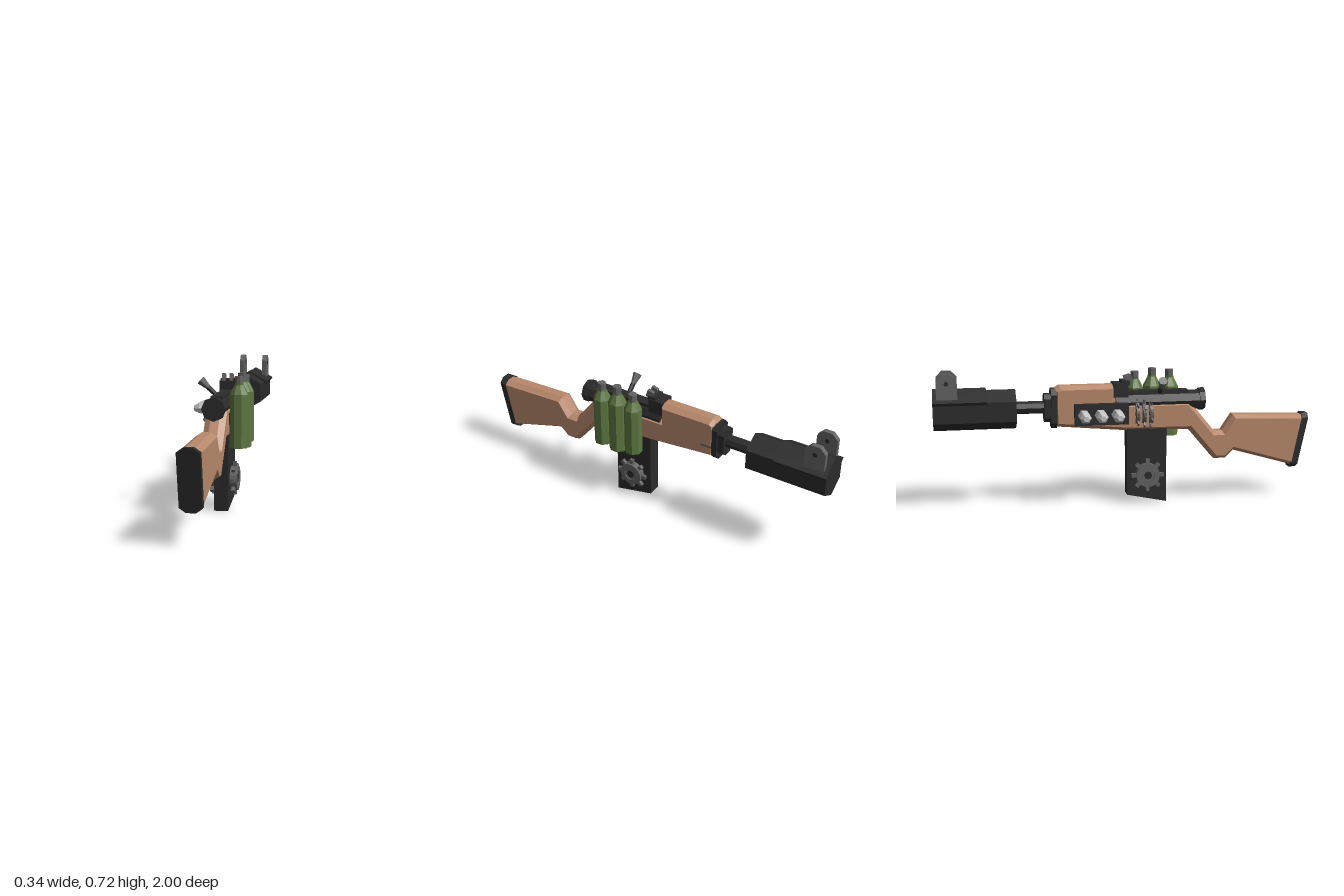
import * as THREE from 'three';

const mat = (name, color) => {
  const m = new THREE.MeshStandardMaterial({ color, flatShading: true });
  m.name = name;
  return m;
};

export function createModel() {
  const wood = mat('wood', 0xb8896b);
  const black = mat('black metal', 0x2b2b2b);
  const grey = mat('grey metal', 0x626262);
  const silver = mat('silver', 0xc8c8c8);
  const green = mat('green glass', 0x5c7540);
  const root = new THREE.Group();
  const CX = 0.022; // centre line

  const add = (name, geo, material, parent = root) => {
    const m = new THREE.Mesh(geo, material);
    m.name = name;
    parent.add(m);
    return m;
  };
  const shapeOf = pts => new THREE.Shape(pts.map(p => new THREE.Vector2(p[0], p[1])));
  const box = (name, material, x0, x1, y0, y1, z0, z1, parent) => add(name,
    new THREE.BoxGeometry(x1 - x0, y1 - y0, z1 - z0)
      .translate((x0 + x1) / 2, (y0 + y1) / 2, (z0 + z1) / 2), material, parent);
  // side outline given as (z, y), extruded across x
  const sideExtrude = (pts, width, x, bevel = 0, bevelDepth = 0) =>
    new THREE.ExtrudeGeometry(shapeOf(pts), {
      depth: width - 2 * bevelDepth, bevelEnabled: bevel > 0, bevelSegments: 1,
      bevelSize: bevel, bevelThickness: bevelDepth, bevelOffset: -bevel,
    }).translate(0, 0, bevelDepth - width / 2).rotateY(-Math.PI / 2).translate(x, 0, 0);
  // section given as (x, y), extruded from z0 to z1
  const zExtrude = (pts, z0, z1) =>
    new THREE.ExtrudeGeometry(shapeOf(pts), { depth: z1 - z0, bevelEnabled: false }).translate(0, 0, z0);
  const chamfered = (hw, y0, y1, cx, cy) => [
    [CX - hw + cx, y0], [CX + hw - cx, y0], [CX + hw, y0 + cy], [CX + hw, y1 - cy],
    [CX + hw - cx, y1], [CX - hw + cx, y1], [CX - hw, y1 - cy], [CX - hw, y0 + cy],
  ];
  const zCylinder = (r, sides, y, z0, z1) =>
    new THREE.CylinderGeometry(r, r, z1 - z0, sides).rotateX(Math.PI / 2).translate(CX, y, (z0 + z1) / 2);

  // wooden stock with chamfered edges
  add('stock', sideExtrude([
    [-0.385, 0.435], [0, 0.4], [0.335, 0.395], [0.476, 0.228], [0.54, 0.228], [0.585, 0.27],
    [0.925, 0.172], [0.98, 0.452], [0.578, 0.467], [0.52, 0.38], [0.476, 0.38],
    [0.335, 0.55], [-0.06, 0.55], [-0.06, 0.647], [-0.355, 0.647], [-0.385, 0.63],
  ], 0.104, CX, 0.02, 0.03), wood);

  // slanted butt plate
  const plate = zExtrude(chamfered(0.053, 0.162, 0.46, 0.03, 0.022), -0.035, 0);
  const pos = plate.attributes.position;
  for (let i = 0; i < pos.count; i++) pos.setZ(i, pos.getZ(i) + 1 - 0.205 * (0.46 - pos.getY(i)));
  plate.computeVertexNormals();
  add('buttPlate', plate, black);

  // receiver tube with end cap
  add('receiverTube', zCylinder(0.052, 8, 0.552, -0.06, 0.4), black);
  add('receiverCap', zCylinder(0.06, 8, 0.554, 0.39, 0.42), black);
  box('receiverBlock', black, CX - 0.045, CX + 0.045, 0.58, 0.654, -0.075, 0.005);
  box('receiverRail', black, CX - 0.03, CX + 0.03, 0.57, 0.608, 0, 0.33);

  // rear sight
  box('rearSightBase', black, CX - 0.038, CX + 0.038, 0.64, 0.667, -0.03, 0.015);
  for (const s of [-1, 1]) {
    const prong = box('rearSightProng', grey, -0.009, 0.009, -0.02, 0.02, -0.018, 0.018);
    prong.position.set(CX + s * 0.02, 0.672, 0.01);
    prong.rotation.x = -0.3;
  }

  // flared bolt handle
  const bolt = new THREE.Group();
  bolt.name = 'boltHandle';
  bolt.position.set(-0.015, 0.605, 0.175);
  bolt.rotation.z = 0.83;
  add('boltStem', new THREE.CylinderGeometry(0.014, 0.012, 0.05, 8).translate(0, 0.02, 0), black, bolt);
  add('boltKnob', new THREE.CylinderGeometry(0.024, 0.012, 0.06, 8).translate(0, 0.07, 0), grey, bolt);
  root.add(bolt);

  // collars and barrel
  add('collar', zExtrude(chamfered(0.055, 0.428, 0.632, 0.028, 0.028), -0.4, -0.37), black);
  add('frontCollar', zExtrude(chamfered(0.046, 0.46, 0.605, 0.022, 0.022), -0.435, -0.4), black);
  add('barrel', zCylinder(0.033, 8, 0.535, -0.6, -0.43), black);

  // hexagonal muzzle, pointed at the top, under a roof plate
  const hex = [];
  for (let i = 0; i < 6; i++) {
    const a = Math.PI / 6 + i * Math.PI / 3;
    hex.push([CX + 0.103 * Math.cos(a), 0.531 + 0.103 * Math.sin(a)]);
  }
  add('muzzle', zExtrude(hex, -1, -0.58), black);
  add('muzzleRoof', zExtrude([
    [CX - 0.104, 0.587], [CX - 0.096, 0.572], [CX, 0.628],
    [CX + 0.096, 0.572], [CX + 0.104, 0.587], [CX, 0.646],
  ], -1, -0.73), black);

  // front sight ears
  for (const s of [-1, 1]) {
    const x = CX + s * 0.068;
    add('frontSightEar', sideExtrude([
      [-0.98, 0.585], [-0.875, 0.585], [-0.875, 0.697], [-0.905, 0.728], [-0.95, 0.728], [-0.98, 0.697],
    ], 0.026, x), grey);
    add('frontSightHole', new THREE.CylinderGeometry(0.012, 0.012, 0.03, 8)
      .rotateZ(Math.PI / 2).translate(x, 0.682, -0.928), black);
  }

  // magazine with slanted foot
  add('magazine', sideExtrude([[0, 0.05], [0.212, 0.005], [0.212, 0.42], [0, 0.42]], 0.073, CX), black);

  // toothed wheel, axis along z
  const makeGear = (name, r, toothR, depth) => {
    const g = new THREE.Group();
    g.name = name;
    const ring = new THREE.Shape().absarc(0, 0, r, 0, Math.PI * 2);
    ring.holes.push(new THREE.Path().absarc(0, 0, r * 0.58, 0, Math.PI * 2, true));
    add('gearRing', new THREE.ExtrudeGeometry(ring, { depth, bevelEnabled: false, curveSegments: 16 })
      .translate(0, 0, -depth / 2), grey, g);
    add('gearWeb', new THREE.CylinderGeometry(r * 0.6, r * 0.6, depth * 0.7, 16).rotateX(Math.PI / 2), grey, g);
    add('gearHub', new THREE.CylinderGeometry(r * 0.34, r * 0.34, depth * 0.9, 8).rotateX(Math.PI / 2), black, g);
    for (let i = 0; i < 8; i++) {
      const len = toothR - r * 0.8;
      add('gearTooth', new THREE.BoxGeometry(len, r * 0.32, depth * 0.5)
        .translate(toothR - len / 2, 0, 0).rotateZ(i * Math.PI / 4), grey, g);
    }
    root.add(g);
    return g;
  };
  for (const s of [-1, 1]) {
    const g = makeGear('magazineGear', 0.063, 0.087, 0.037);
    g.rotation.y = s * Math.PI / 2;
    g.position.set(CX + s * 0.055, 0.16, 0.107);
  }
  // half-sunk gears on the receiver side
  for (let i = 0; i < 3; i++) {
    const g = makeGear('receiverGear', 0.056, 0.076, 0.018);
    g.position.set(-0.018, 0.495, 0.05 + i * 0.036);
    g.rotation.z = i * 0.25;
  }

  // shell holder with three shells
  box('shellHolder', black, -0.068, -0.025, 0.445, 0.555, -0.282, 0);
  for (let i = 0; i < 3; i++) {
    const profile = [[0, 0], [0.031, 0], [0.031, 0.08], [0.015, 0.11], [0, 0.11]];
    add('shell', new THREE.LatheGeometry(profile.map(p => new THREE.Vector2(...p)), 6)
      .rotateZ(Math.PI / 2).translate(-0.064, 0.5, -0.063 - i * 0.087), silver);
  }
  // small pin on the other side
  box('sidePin', grey, 0.07, 0.079, 0.496, 0.508, -0.37, -0.31);

  // three bottles at slightly different heights
  [[0.065, 0.35, 0.92], [0.16, 0.335, 1], [0.255, 0.345, 0.95]].forEach(([z, y, s]) => {
    const h = 0.376 * s, r = 0.049 * Math.sqrt(s);
    const profile = [[0, 0], [r, 0], [r, h * 0.75], [0.023, h * 0.88], [0.023, h * 0.9], [0, h * 0.9]];
    add('bottle', new THREE.LatheGeometry(profile.map(p => new THREE.Vector2(...p)), 8)
      .rotateY(Math.PI / 8).translate(0.122, y, z), green);
    add('bottleMouth', new THREE.CylinderGeometry(0.022, 0.022, h * 0.13, 8)
      .rotateY(Math.PI / 8).translate(0.122, y + h * 0.935, z), grey);
  });
  // strap joining the bottles to the receiver
  box('bottleMount', black, 0.06, 0.085, 0.46, 0.52, 0.05, 0.27);

  return root;
}
